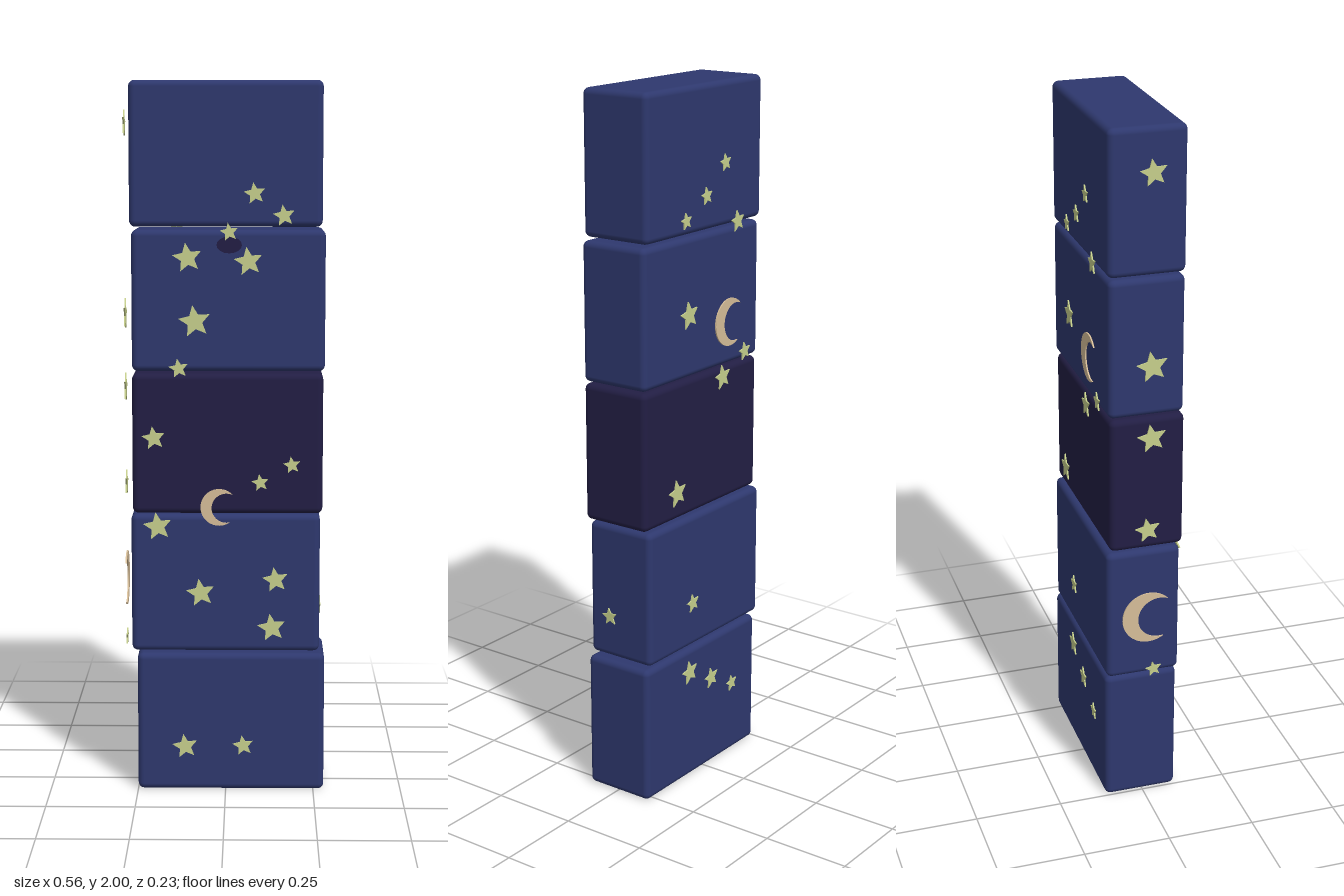
import * as THREE from 'three';
import { RoundedBoxGeometry } from 'three/addons/geometries/RoundedBoxGeometry.js';

const mat = (name, color, side = THREE.FrontSide) => {
  const m = new THREE.MeshStandardMaterial({ color, side });
  m.name = name;
  return m;
};

// Unit five-pointed star
function starShape() {
  const s = new THREE.Shape();
  for (let i = 0; i < 10; i++) {
    const a = Math.PI / 2 + (i * Math.PI) / 5;
    const r = i % 2 ? 0.46 : 1;
    s[i ? 'lineTo' : 'moveTo'](r * Math.cos(a), r * Math.sin(a));
  }
  s.closePath();
  return s;
}

// Unit crescent, open to the right
function moonShape() {
  const s = new THREE.Shape();
  const tip = 0.87, c = 0.4;
  const tx = Math.cos(tip), ty = Math.sin(tip);
  const inner = Math.atan2(ty, tx - c), ri = Math.hypot(tx - c, ty);
  s.absarc(0, 0, 1, tip, 2 * Math.PI - tip, false);
  s.absarc(c, 0, ri, 2 * Math.PI - inner, inner, true);
  return s;
}

export function createModel() {
  const model = new THREE.Group();
  model.name = 'nightSkyBlockTower';
  const blue = mat('night blue', 0x2e386e);
  const dark = mat('midnight', 0x221e44);
  const yellow = mat('star yellow', 0xc6cf8c);
  const tan = mat('moon tan', 0xd6bd98);

  // Stacked blocks, bottom to top: x0, x1, y0, y1, z0, z1
  const blocks = [
    [-0.25, 0.28, 0, 0.4, -0.111, 0.1, blue],
    [-0.265, 0.265, 0.408, 0.802, -0.111, 0.101, blue],
    [-0.26, 0.271, 0.806, 1.2, -0.1, 0.111, dark],
    [-0.26, 0.275, 1.206, 1.596, -0.103, 0.108, blue],
    [-0.265, 0.266, 1.604, 2, -0.106, 0.108, blue],
  ];
  blocks.forEach(([x0, x1, y0, y1, z0, z1, m], i) => {
    const g = new RoundedBoxGeometry(x1 - x0, y1 - y0, z1 - z0, 3, 0.017);
    const b = new THREE.Mesh(g, m);
    b.position.set((x0 + x1) / 2, (y0 + y1) / 2, (z0 + z1) / 2);
    b.name = 'block' + (i + 1);
    model.add(b);
  });

  // Thin star and moon plates
  const opts = { depth: 1, bevelEnabled: false, curveSegments: 20 };
  const starGeo = new THREE.ExtrudeGeometry(starShape(), opts);
  const moonGeo = new THREE.ExtrudeGeometry(moonShape(), opts);

  // Each side: turn about y, distance out, stars and moons as [across, y, radius]
  const sides = [
    { name: 'front', turn: 0, out: 0.11,
      stars: [[0.08, 1.695, 0.031], [0.16, 1.635, 0.031], [0.01, 1.59, 0.026], [-0.105, 1.52, 0.042],
        [0.063, 1.51, 0.041], [-0.085, 1.345, 0.046], [-0.13, 1.215, 0.028], [-0.2, 1.02, 0.034],
        [0.185, 0.945, 0.025], [0.097, 0.895, 0.025], [-0.19, 0.77, 0.041], [-0.07, 0.58, 0.041],
        [0.14, 0.618, 0.037], [0.13, 0.48, 0.041], [-0.115, 0.132, 0.036], [0.05, 0.135, 0.03]],
      moons: [[-0.018, 0.825, 0.052]] },
    { name: 'back', turn: Math.PI, out: 0.111,
      stars: [[0.08, 1.78, 0.025], [-0.007, 1.7, 0.025], [-0.1, 1.645, 0.024], [0.14, 1.61, 0.031],
        [-0.086, 1.385, 0.04], [0.18, 1.23, 0.027], [0.073, 1.177, 0.036], [-0.14, 0.89, 0.04],
        [-0.066, 0.54, 0.028], [-0.08, 0.33, 0.036], [0.026, 0.275, 0.032], [0.13, 0.22, 0.025]],
      moons: [[0.105, 1.33, 0.068]] },
    { name: 'rightSide', turn: -Math.PI / 2, out: 0.281,
      stars: [[0.01, 1.885, 0.038], [0.01, 1.357, 0.045], [0.01, 1.15, 0.042],
        [0, 0.875, 0.037], [0.02, 0.43, 0.024]],
      moons: [[0.005, 0.6, 0.077]] },
    { name: 'leftSide', turn: Math.PI / 2, out: 0.265, stars: [[-0.03, 0.53, 0.026]], moons: [] },
  ];
  for (const { name, turn, out, stars, moons } of sides) {
    const side = new THREE.Group();
    side.name = name + 'Decorations';
    side.rotation.y = turn;
    const place = (geo, m, label, tilt) => ([a, y, r]) => {
      const p = new THREE.Mesh(geo, m);
      p.name = label;
      p.position.set(a, y, out);
      p.rotation.z = tilt;
      p.scale.set(r, r, 0.004);
      side.add(p);
    };
    stars.forEach(place(starGeo, yellow, 'star', 0.15));
    moons.forEach(place(moonGeo, tan, 'moon', -0.12));
    model.add(side);
  }

  // Small dark dent at the top of the fourth block
  const dent = new THREE.Mesh(new THREE.CircleGeometry(1, 16), dark);
  dent.name = 'dent';
  dent.position.set(0.01, 1.555, 0.109);
  dent.scale.set(0.035, 0.023, 1);
  model.add(dent);

  return model;
}
